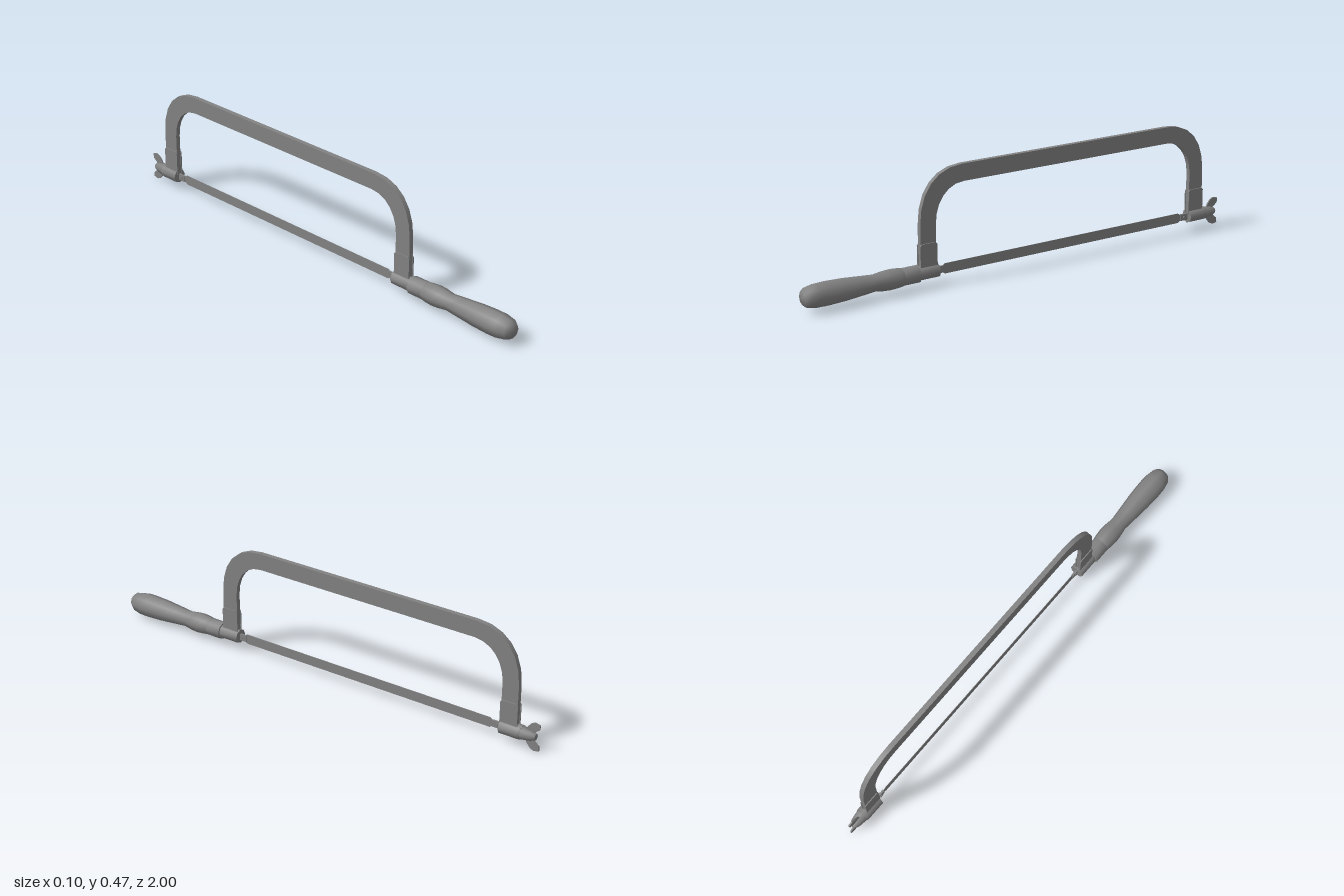
import * as THREE from 'three';
import { toCreasedNormals } from 'three/addons/utils/BufferGeometryUtils.js';

const AXIS_Y = 0.06; // height of the handle and blade axis

export function createModel() {
  const group = new THREE.Group();
  const material = new THREE.MeshStandardMaterial({ color: 0x828282 });

  function add(name, geometry) {
    const mesh = new THREE.Mesh(geometry, material);
    mesh.name = name;
    group.add(mesh);
    return mesh;
  }

  // Side profile drawn as (z, y), extruded to a plate centred on x
  function plate(name, shape, width, x = 0) {
    const g = new THREE.ExtrudeGeometry(shape, { depth: width, bevelEnabled: false, curveSegments: 6 });
    g.translate(0, 0, -width / 2);
    g.rotateY(-Math.PI / 2);
    g.translate(x, 0, 0);
    return add(name, toCreasedNormals(g, Math.PI / 6));
  }

  const polygon = (points) => new THREE.Shape(points.map(([z, y]) => new THREE.Vector2(z, y)));

  // Eight-sided turned part along z, profile as [radius, z] with z rising
  function turned(name, profile) {
    const g = new THREE.LatheGeometry(profile.map(([r, z]) => new THREE.Vector2(r, z)), 8);
    g.rotateX(Math.PI / 2);
    g.translate(0, AXIS_Y, 0);
    return add(name, toCreasedNormals(g, Math.PI / 3));
  }

  // Bow-shaped frame
  const bow = new THREE.Shape();
  bow.moveTo(0.493, 0.07);
  bow.lineTo(0.493, 0.25);
  bow.bezierCurveTo(0.493, 0.39, 0.42, 0.47, 0.3, 0.47);
  bow.lineTo(-0.71, 0.47);
  bow.bezierCurveTo(-0.83, 0.47, -0.905, 0.39, -0.905, 0.25);
  bow.lineTo(-0.905, 0.07);
  bow.lineTo(-0.835, 0.07);
  bow.lineTo(-0.835, 0.25);
  bow.bezierCurveTo(-0.835, 0.33, -0.785, 0.4, -0.705, 0.4);
  bow.lineTo(0.295, 0.4);
  bow.bezierCurveTo(0.375, 0.4, 0.423, 0.33, 0.423, 0.25);
  bow.lineTo(0.423, 0.07);
  plate('frame', bow, 0.02);

  // Socket cheeks on both sides of each frame leg
  for (const [name, z] of [['frontSocket', 0.458], ['rearSocket', -0.87]]) {
    for (const side of [-1, 1]) {
      plate(name + (side > 0 ? 'Left' : 'Right'), polygon([
        [z - 0.038, 0.07], [z + 0.038, 0.07], [z + 0.038, 0.17],
        [z + 0.031, 0.178], [z - 0.031, 0.178], [z - 0.038, 0.17],
      ]), 0.005, side * 0.0115);
    }
  }

  // Handle, ferrule and the barrels that carry the blade
  turned('handle', [
    [0, 0.57], [0.036, 0.57], [0.04, 0.59], [0.043, 0.625], [0.041, 0.655], [0.035, 0.695],
    [0.04, 0.75], [0.047, 0.83], [0.05, 0.9], [0.049, 0.94], [0.041, 0.98], [0.028, 0.997], [0, 1],
  ]);
  turned('ferrule', [[0, 0.505], [0.037, 0.505], [0.037, 0.575], [0, 0.575]]);
  turned('frontBarrel', [[0, 0.415], [0.03, 0.415], [0.03, 0.51], [0, 0.51]]);
  turned('rearBarrel', [[0, -0.925], [0.029, -0.925], [0.03, -0.91], [0.03, -0.835], [0, -0.835]]);

  // Tensioning wing nut
  turned('wingNutHub', [[0, -0.984], [0.013, -0.984], [0.021, -0.965], [0.028, -0.92], [0, -0.92]]);
  for (const side of [-1, 1]) {
    const points = [[-0.938, 0.015], [-0.947, 0.035], [-0.962, 0.053], [-0.978, 0.06],
      [-1, 0.055], [-0.998, 0.035], [-0.985, 0.024], [-0.965, 0.008]];
    plate(side > 0 ? 'upperWing' : 'lowerWing', polygon(points.map(([z, y]) => [z, AXIS_Y + side * y])), 0.006);
  }

  // Thin blade with narrowed ends, and its holding tangs and pins
  plate('blade', polygon([
    [-0.83, 0.044], [-0.795, 0.044], [-0.785, 0.037], [0.38, 0.037], [0.39, 0.044], [0.42, 0.044],
    [0.42, 0.072], [0.39, 0.072], [0.38, 0.079], [-0.785, 0.079], [-0.795, 0.072], [-0.83, 0.072],
  ]), 0.002);
  for (const [name, z] of [['front', 0.404], ['rear', -0.818]]) {
    const tang = add(name + 'Tang', new THREE.BoxGeometry(0.008, 0.028, 0.04));
    tang.position.set(0, AXIS_Y - 0.002, z);
    const pin = add(name + 'Pin', new THREE.CylinderGeometry(0.006, 0.006, 0.016, 8));
    pin.rotation.z = Math.PI / 2;
    pin.position.set(0, AXIS_Y - 0.002, z);
  }

  return group;
}
